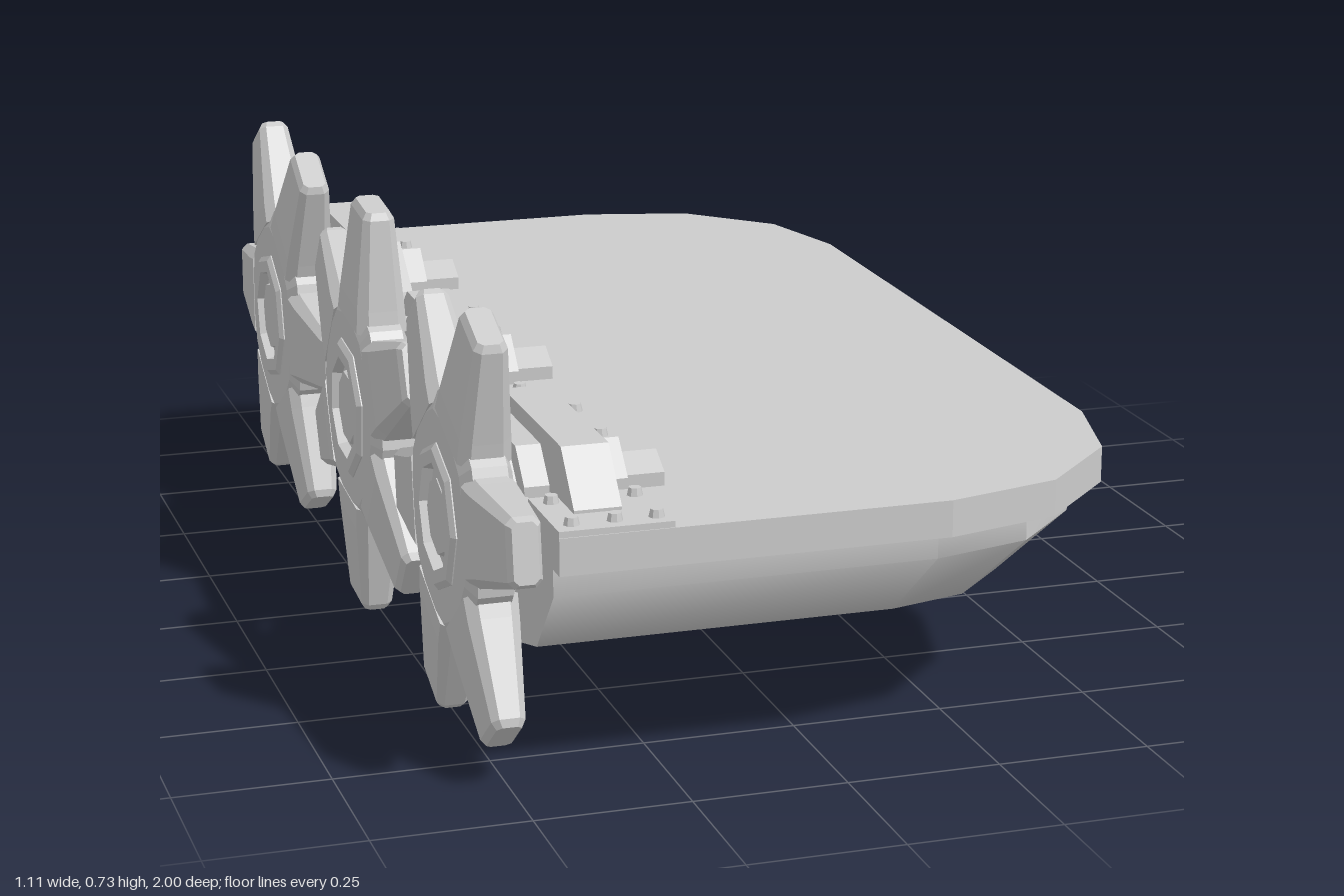
import * as THREE from 'three';
import { toCreasedNormals } from 'three/addons/utils/BufferGeometryUtils.js';

const ZC = -0.005; // fore-aft centre of the hull
const smooth = new THREE.MeshStandardMaterial({ color: 0xcccccc });
const flat = new THREE.MeshStandardMaterial({ color: 0xcccccc, flatShading: true });

function add(parent, name, geometry, material = flat) {
  const mesh = new THREE.Mesh(geometry, material);
  mesh.name = name;
  parent.add(mesh);
  return mesh;
}

// Closed solid through equal-length rings, listed bottom to top, counter-clockwise from above
function loft(rings) {
  const n = rings[0].length, top = (rings.length - 1) * n, index = [];
  for (let i = 0; i < rings.length - 1; i++) {
    for (let j = 0; j < n; j++) {
      const a = i * n + j, b = i * n + (j + 1) % n;
      index.push(a, b, b + n, a, b + n, a + n);
    }
  }
  for (let j = 1; j < n - 1; j++) index.push(0, j + 1, j, top, top + j, top + j + 1);
  const g = new THREE.BufferGeometry();
  g.setAttribute('position', new THREE.Float32BufferAttribute(rings.flat(2), 3));
  g.setIndex(index);
  g.computeVertexNormals();
  return g;
}

// D-shaped plan: square at the wheel side, rounded by radius c on the far side
function plan(X, Z, c, x0) {
  const half = [[x0, Z], [X - c, Z], [X - c * 0.5, Z - c * 0.13], [X - c * 0.13, Z - c * 0.5], [X, Z - c]];
  return [...half, ...half.map(([x, z]) => [x, -z]).reverse()].map(([x, z]) => [x, z + ZC]);
}

const toPoints = (list) => list.map(([x, y]) => new THREE.Vector2(x, y));

// Horizontal slab from a plan outline
function slab(outline, yTop, depth, hole) {
  const shape = new THREE.Shape(toPoints(outline));
  if (hole) shape.holes.push(new THREE.Path(toPoints(hole)));
  return new THREE.ExtrudeGeometry(shape, { depth, bevelEnabled: false }).rotateX(Math.PI / 2).translate(0, yTop, 0);
}

// Side profile in (z, y), extruded from x0 to x1
function sideProfile(points, x0, x1) {
  return new THREE.ExtrudeGeometry(new THREE.Shape(toPoints(points)), { depth: x1 - x0, bevelEnabled: false })
    .rotateY(-Math.PI / 2).translate(x1, 0, 0);
}

function rivet(parent, x, y, z) {
  add(parent, 'rivet', new THREE.CylinderGeometry(0.01, 0.013, 0.013, 8)).position.set(x, y + 0.006, z);
}

function spokeGeometry() {
  const rings = [[0.16, 0.043, 0.088], [0.2, 0.041, 0.08], [0.352, 0.027, 0.054], [0.364, 0.02, 0.047]]
    .map(([r, t, w]) => {
      const c = t * 0.4;
      return [[t, w - c], [t, c - w], [t - c, -w], [c - t, -w], [-t, c - w], [-t, w - c], [c - t, w], [t - c, w]]
        .map(([x, z]) => [x, r, z]);
    });
  return loft(rings);
}

function makeWheel(z, phase) {
  const wheel = new THREE.Group();
  wheel.name = 'spikedWheel';
  wheel.position.set(-0.505, 0.367, z);
  wheel.rotation.x = THREE.MathUtils.degToRad(phase);
  const spoke = spokeGeometry();
  for (let i = 0; i < 6; i++) add(wheel, 'spike', spoke).rotation.x = i * Math.PI / 3;
  // Hub disc and the stepped ring on each face
  const disc = [[0, -0.034], [0.1, -0.034], [0.105, -0.042], [0.17, -0.042], [0.2, -0.028],
    [0.2, 0.028], [0.17, 0.042], [0.105, 0.042], [0.1, 0.034], [0, 0.034]];
  add(wheel, 'hub', new THREE.LatheGeometry(toPoints(disc), 12).rotateZ(Math.PI / 2));
  const ring = [[0.08, 0.02], [0.12, 0.02], [0.12, 0.044], [0.11, 0.051], [0.088, 0.051], [0.08, 0.02]];
  const cap = [[0.068, 0.03], [0.062, 0.044], [0, 0.044]];
  for (const side of [-1, 1]) {
    add(wheel, 'hubRing', new THREE.LatheGeometry(toPoints(ring), 8).rotateZ(-side * Math.PI / 2).rotateX(Math.PI / 8));
    add(wheel, 'hubCap', new THREE.LatheGeometry(toPoints(cap), 8).rotateZ(-side * Math.PI / 2).rotateX(Math.PI / 8));
  }
  return wheel;
}

export function createModel() {
  const model = new THREE.Group();
  model.name = 'wheeledHull';

  // Hull underside
  const levels = [[0.115, 0.08, 0.48, 0.08], [0.21, 0.395, 0.835, 0.26], [0.32, 0.5, 0.93, 0.33], [0.372, 0.5, 0.93, 0.33]];
  const rings = levels.map(([y, X, Z, c]) => plan(X, Z, c, -0.445).map(([x, z]) => [x, y, z]));
  add(model, 'hull', toCreasedNormals(loft(rings), 0.75), smooth);

  // Rim with a slightly sunken deck
  const outer = plan(0.552, 0.982, 0.38, -0.45);
  add(model, 'rim', slab(outer, 0.43, 0.01, plan(0.44, 0.88, 0.335, -0.44)));
  add(model, 'deck', slab(outer, 0.423, 0.052));

  // Arched beam running over the wheel mounts
  const beam = [[-0.92, 0.42], [0.9, 0.42], [0.9, 0.445], [0.83, 0.525], [0.5, 0.525], [0.41, 0.452], [0.23, 0.452],
    [0.145, 0.525], [-0.14, 0.525], [-0.225, 0.452], [-0.41, 0.452], [-0.5, 0.525], [-0.84, 0.525], [-0.92, 0.445]];
  add(model, 'beam', sideProfile(beam, -0.405, -0.33));

  // Riveted foot plates
  for (const [z, length, x1] of [[-0.9, 0.17, -0.27], [-0.325, 0.17, -0.285], [0.295, 0.17, -0.285], [0.89, 0.17, -0.27]]) {
    const plate = add(model, 'footPlate', new THREE.BoxGeometry(x1 + 0.45, 0.02, length));
    plate.position.set((x1 - 0.45) / 2, 0.43, z);
    const end = Math.abs(z) > 0.5;
    for (const dz of end ? [-0.055, 0.055] : [-0.063, 0, 0.063]) {
      for (const x of [-0.422, x1 - 0.02]) rivet(model, x, 0.44, z + dz);
    }
    if (end) rivet(model, -0.355, 0.44, z + Math.sign(z) * 0.055);
  }

  // Wheels, their axles and mounts
  for (const [z, phase] of [[-0.635, 30], [0.003, 6], [0.632, 22]]) {
    model.add(makeWheel(z, phase));
    const axle = add(model, 'axle', new THREE.CylinderGeometry(0.12, 0.12, 0.04, 12).rotateZ(Math.PI / 2));
    axle.position.set(-0.46, 0.367, z);
    const block = (bottom, top, y) => [[z - bottom, 0.42], [z + bottom, 0.42], [z + bottom, 0.445], [z + top, y],
      [z - top, y], [z - bottom, 0.445]];
    add(model, 'mount', sideProfile(block(0.135, 0.085, 0.497), -0.445, -0.28));
    add(model, 'mountStep', sideProfile(block(0.122, 0.078, 0.47), -0.28, -0.217));
    for (const dz of [-0.07, 0.07]) rivet(model, -0.305, 0.497, z + dz);
  }
  return model;
}
